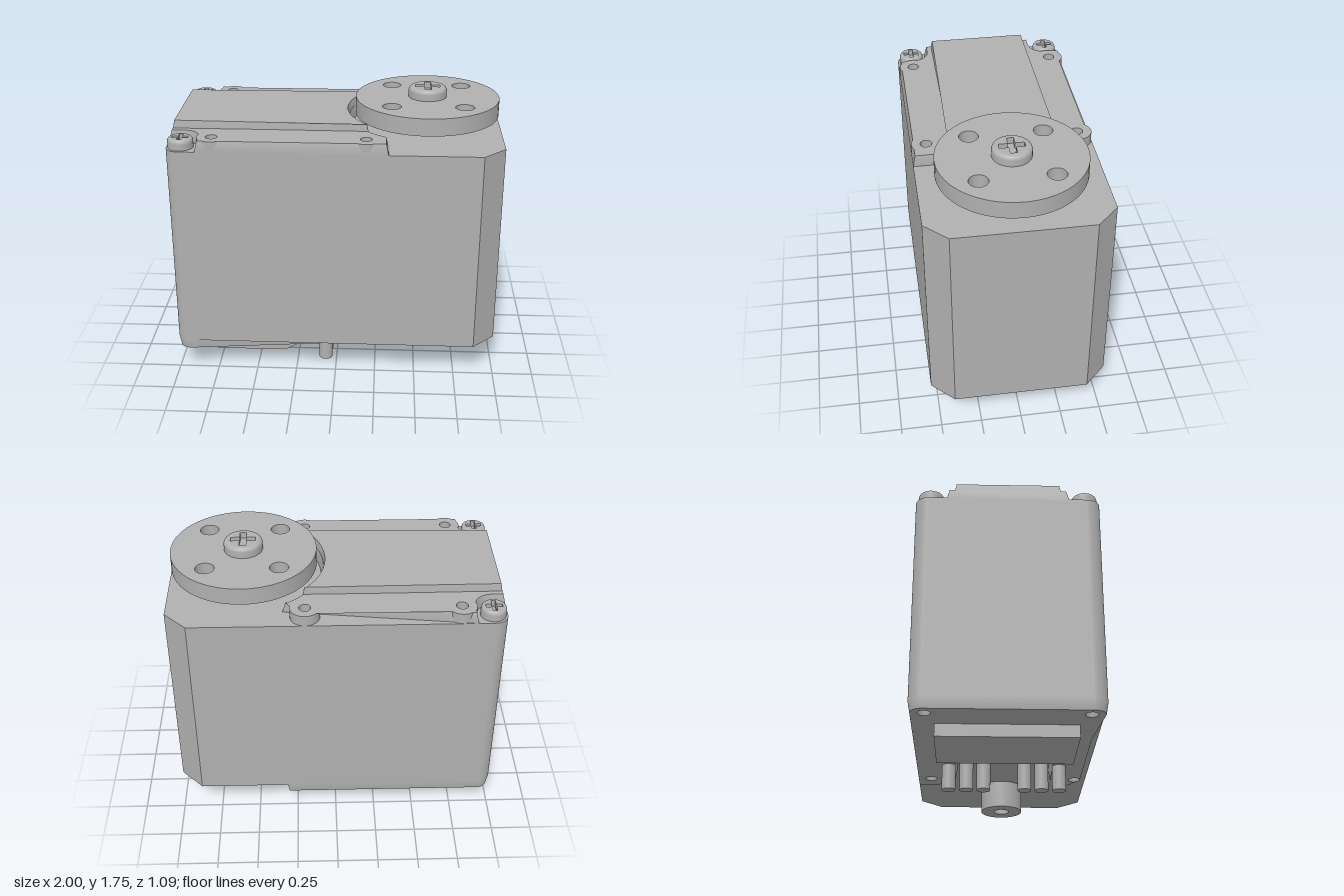
import * as THREE from 'three';
import { toCreasedNormals } from 'three/addons/utils/BufferGeometryUtils.js';

const AXIS = 0.545; // x of the output shaft
const SIDE = 0.545; // half depth of the case
const BOLT_Z = 0.455;

export function createModel() {
  const group = new THREE.Group();
  const grey = new THREE.MeshStandardMaterial({ color: 0xb0b0b0 });
  grey.name = 'plain grey';

  function add(name, geometry, x = 0, y = 0, z = 0, parent = group) {
    const mesh = new THREE.Mesh(geometry, grey);
    mesh.name = name;
    mesh.position.set(x, y, z);
    parent.add(mesh);
    return mesh;
  }

  function circle(x, y, r, Kind = THREE.Path) {
    const path = new Kind();
    path.absarc(x, y, r, 0, Math.PI * 2, false);
    return path;
  }

  // Slab standing on a plan outline; the far rim is inset by `inset`
  function slab(shape, height, inset = 0, down = false) {
    const geo = new THREE.ExtrudeGeometry(shape, {
      depth: inset ? 0.01 : height, curveSegments: 32,
      bevelEnabled: inset > 0, bevelThickness: height, bevelSize: inset,
      bevelOffset: -inset, bevelSegments: 1,
    });
    // With a bevel, the lower half lies hidden inside the case
    if (inset) geo.translate(0, 0, -0.01);
    geo.rotateX(down ? Math.PI / 2 : -Math.PI / 2);
    return toCreasedNormals(geo, 0.5);
  }

  function cylinder(r, height) {
    return new THREE.CylinderGeometry(r, r, height, 48).translate(0, height / 2, 0);
  }

  // Arc around the horn that ends the covers, from half width z0 to -z0
  function hornArc(shape, r, z0) {
    const a = Math.PI - Math.asin(z0 / r);
    shape.absarc(AXIS, 0, r, a, 2 * Math.PI - a, false);
  }

  // Case: rounded back corners, chamfered front corners
  const body = new THREE.Shape();
  body.moveTo(0.865, -SIDE);
  body.lineTo(1, -0.41);
  body.lineTo(1, 0.41);
  body.lineTo(0.865, SIDE);
  body.lineTo(-0.92, SIDE);
  body.absarc(-0.92, SIDE - 0.08, 0.08, Math.PI / 2, Math.PI, false);
  body.absarc(-0.92, -SIDE + 0.08, 0.08, Math.PI, Math.PI * 1.5, false);
  body.closePath();
  add('case', slab(body, 1.27), 0, 0.22, 0);

  // Top cover with corner notches for the screws
  const top = new THREE.Shape();
  top.moveTo(0.313, SIDE);
  hornArc(top, 0.465, 0.402);
  top.lineTo(0.313, -SIDE);
  top.lineTo(-0.82, -SIDE);
  top.absarc(-0.915, -BOLT_Z, 0.095, 0, Math.PI / 2, false);
  top.lineTo(-1, -0.36);
  top.lineTo(-1, 0.36);
  top.absarc(-0.915, BOLT_Z, 0.095, Math.PI * 1.5, Math.PI * 2, false);
  top.lineTo(-0.82, SIDE);
  top.closePath();
  for (const x of [-0.73, 0.18])
    for (const s of [-1, 1]) top.holes.push(circle(x, s * BOLT_Z, 0.045));
  add('topCover', slab(top, 0.065, 0.015), 0, 1.49, 0);

  // Raised middle of the top cover
  const plate = new THREE.Shape();
  plate.moveTo(-0.995, 0.325);
  plate.lineTo(-0.995, -0.325);
  plate.lineTo(AXIS - Math.sqrt(0.47 ** 2 - 0.325 ** 2), -0.325);
  const a0 = Math.PI - Math.asin(0.325 / 0.47);
  plate.absarc(AXIS, 0, 0.47, 2 * Math.PI - a0, a0, true);
  plate.closePath();
  add('raisedPlate', slab(plate, 0.112, 0.02), 0, 1.49, 0);

  // Ring bosses around the pin holes
  const ring = circle(0, 0, 0.088, THREE.Shape);
  ring.holes.push(circle(0, 0, 0.035));
  const ringGeo = slab(ring, 0.065);
  for (const x of [-0.73, 0.18])
    for (const s of [-1, 1]) add('holeBoss', ringGeo, x, 1.49, s * BOLT_Z);

  // Bottom cover, open in the middle for the pins
  const bottom = new THREE.Shape();
  bottom.moveTo(0.313, SIDE);
  const hi = Math.PI - Math.asin(0.402 / 0.465);
  const lo = Math.PI - Math.asin(0.29 / 0.465);
  bottom.absarc(AXIS, 0, 0.465, hi, lo, false);
  bottom.lineTo(-0.17, 0.29);
  bottom.lineTo(-0.17, -0.29);
  bottom.absarc(AXIS, 0, 0.465, 2 * Math.PI - lo, 2 * Math.PI - hi, false);
  bottom.lineTo(0.313, -SIDE);
  bottom.lineTo(-0.92, -SIDE);
  bottom.absarc(-0.92, -SIDE + 0.08, 0.08, Math.PI * 1.5, Math.PI, true);
  bottom.absarc(-0.92, SIDE - 0.08, 0.08, Math.PI, Math.PI / 2, true);
  bottom.closePath();
  for (const x of [-0.92, 0.18])
    for (const s of [-1, 1]) bottom.holes.push(circle(x, s * BOLT_Z, 0.025));
  add('bottomCover', slab(bottom, 0.065, 0.012, true), 0, 0.22, 0);

  // Wedge block under the bottom cover
  const wedge = new THREE.Shape([
    [-0.77, 0.17], [-0.77, 0.08], [-0.33, 0.08], [-0.18, 0.16], [-0.18, 0.17],
  ].map(([x, y]) => new THREE.Vector2(x, y)));
  add('bottomBlock', new THREE.ExtrudeGeometry(wedge, { depth: 0.81, bevelEnabled: false }), 0, 0, -0.405);

  // Connector pins
  for (const z of [0.125, 0.23, 0.338])
    for (const s of [-1, 1]) add('pin', cylinder(0.042, 0.225), -0.07, 0, s * z);

  // Lower pivot with a bore
  const pivot = circle(0, 0, 0.132, THREE.Shape);
  pivot.holes.push(circle(0, 0, 0.05));
  add('lowerPivot', slab(pivot, 0.17), AXIS, 0.05, 0);

  // Output shaft, hub and round horn
  add('outputShaft', cylinder(0.105, 0.02), AXIS, 1.488, 0);
  add('hornHub', cylinder(0.196, 0.07), AXIS, 1.505, 0);
  const horn = circle(0, 0, 0.44, THREE.Shape);
  for (const x of [-1, 1])
    for (const z of [-1, 1]) horn.holes.push(circle(x * 0.218, z * 0.218, 0.057));
  add('hornDisc', slab(horn, 0.107), AXIS, 1.573, 0);

  // Pan-head screw with a cross recess
  function screw(x, y, z, r, h) {
    const parts = new THREE.Group();
    parts.name = 'screw';
    parts.position.set(x, y, z);
    group.add(parts);
    const topR = r * 0.78, arm = r * 0.64, w = r * 0.17, depth = h * 0.6;
    const profile = [new THREE.Vector2(r, 0)];
    for (let i = 0; i <= 6; i++) {
      const a = (i / 6) * Math.PI / 2;
      profile.push(new THREE.Vector2(
        topR + (r - topR) * Math.cos(a), h * 0.6 + h * 0.4 * Math.sin(a)));
    }
    add('screwRim', new THREE.LatheGeometry(profile, 48), 0, 0, 0, parts);
    const face = circle(0, 0, topR, THREE.Shape);
    face.holes.push(new THREE.Path([
      [arm, -w], [arm, w], [w, w], [w, arm], [-w, arm], [-w, w],
      [-arm, w], [-arm, -w], [-w, -w], [-w, -arm], [w, -arm], [w, -w],
    ].map(([px, py]) => new THREE.Vector2(px, py))));
    add('screwFace', slab(face, depth), 0, h - depth, 0, parts);
    add('screwCore', cylinder(topR, h - depth), 0, 0, 0, parts);
  }
  screw(AXIS, 1.68, 0, 0.117, 0.065);
  for (const s of [-1, 1]) screw(-0.915, 1.49, s * BOLT_Z, 0.076, 0.062);

  return group;
}
